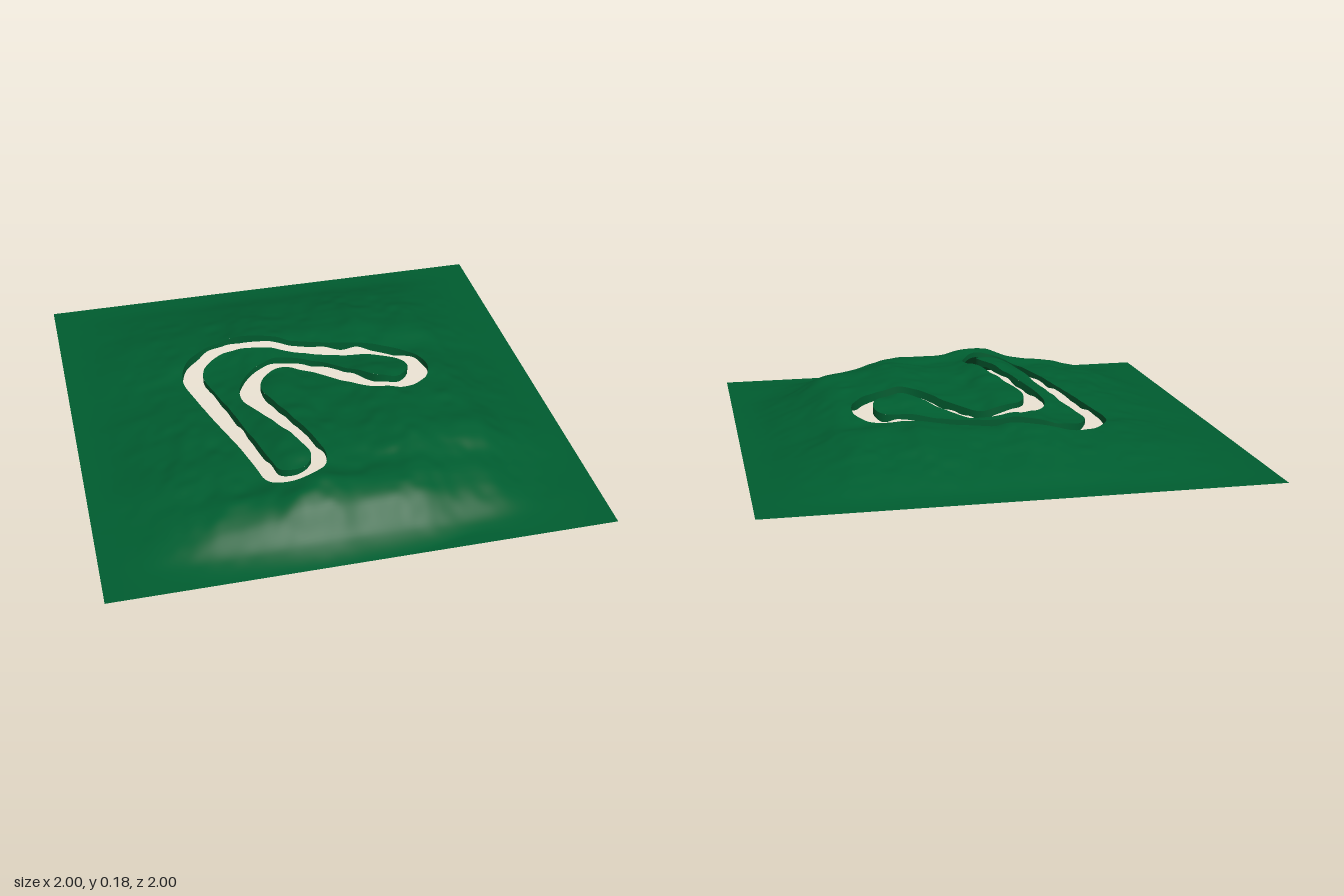
import * as THREE from 'three';

const CELLS = 180;    // terrain grid resolution

// Ridge profiles across x and z, sampled every 0.1 from -1 to 1
const ACROSS = [0, .012, .042, .074, .1, .114, .12, .138, .172, .18, .157, .155, .168, .183, .166, .155, .143, .095, .055, .015, 0];
const ALONG = [0, .01, .042, .07, .095, .112, .127, .125, .122, .135, .15, .155, .165, .172, .183, .182, .168, .18, .155, .055, 0];

function sample(list, t) {
  const f = Math.min(19.9999, Math.max(0, (t + 1) * 10));
  const i = Math.floor(f), u = f - i;
  const at = (k) => list[Math.min(20, Math.max(0, k))];
  const a = at(i - 1), b = at(i), c = at(i + 1), d = at(i + 2);
  return b + 0.5 * u * (c - a + u * (2 * a - 5 * b + 4 * c - d + u * (3 * (b - c) + d - a)));
}

// Smooth seeded value noise for the small bumps
function hash(i, j) {
  const s = Math.sin(i * 127.1 + j * 311.7) * 43758.5453;
  return s - Math.floor(s);
}
function noise(x, z) {
  const i = Math.floor(x), j = Math.floor(z);
  const ease = (t) => t * t * (3 - 2 * t);
  const u = ease(x - i), v = ease(z - j);
  const top = hash(i, j) * (1 - u) + hash(i + 1, j) * u;
  const low = hash(i, j + 1) * (1 - u) + hash(i + 1, j + 1) * u;
  return top * (1 - v) + low * v - 0.5;
}

function height(x, z) {
  const { smoothstep } = THREE.MathUtils;
  // The front hill is round, so its corners fall away
  const round = smoothstep(z, 0.3, 0.7) * smoothstep(Math.hypot(x + 0.1, z), 0.72, 1.2);
  const dip = 0.025 * Math.exp(-((x - 0.4) ** 2 + (z - 0.74) ** 2) / 0.04);
  const base = sample(ACROSS, x) * sample(ALONG, z) / 0.185 * (1 - 0.75 * round) - dip;
  const bumps = 0.011 * noise(x * 9, z * 9) + 0.007 * noise(x * 19 + 7, z * 19);
  return Math.max(0, base + bumps * Math.min(1, Math.max(0, base / 0.08)));
}

// Half the width of the cut, narrowing towards the front loop
const halfWidth = (z) => 0.045 - 0.014 * THREE.MathUtils.smoothstep(z, 0, 0.5);

// Closed centre line: arcs (x, z, signed radius) joined by their tangents
function trackLine() {
  const arcs = [[-.27, -.21, .195], [.345, -.05, .145], [-.06, 0, -.193], [-.19, .52, .105]];
  const n = arcs.length;
  const leave = arcs.map((a, i) => {
    const b = arcs[(i + 1) % n];
    const dx = b[0] - a[0], dz = b[1] - a[1];
    return Math.atan2(dz, dx) - Math.acos((a[2] - b[2]) / Math.hypot(dx, dz));
  });
  const path = new THREE.CurvePath();
  const corners = [];
  arcs.forEach(([x, z, r], i) => {
    const start = leave[(i + n - 1) % n];
    let turn = (leave[i] - start) % (2 * Math.PI);
    if (r > 0 && turn < 0) turn += 2 * Math.PI;
    if (r < 0 && turn > 0) turn -= 2 * Math.PI;
    for (let k = 0; k <= 24; k++) {
      const t = start + turn * k / 24;
      corners.push(new THREE.Vector2(x + r * Math.cos(t), z + r * Math.sin(t)));
    }
  });
  corners.push(corners[0].clone());
  for (let i = 1; i < corners.length; i++) path.add(new THREE.LineCurve(corners[i - 1], corners[i]));
  return path.getSpacedPoints(360).slice(0, 360);
}

// Nearest point on the centre line, and the gap to the edge of the cut
function nearest(line, x, z) {
  let best = Infinity, px = 0, pz = 0;
  for (let i = 0; i < line.length; i++) {
    const a = line[i], b = line[(i + 1) % line.length];
    const dx = b.x - a.x, dz = b.y - a.y;
    const t = Math.min(1, Math.max(0, ((x - a.x) * dx + (z - a.y) * dz) / (dx * dx + dz * dz)));
    const qx = a.x + dx * t, qz = a.y + dz * t;
    const d = (x - qx) ** 2 + (z - qz) ** 2;
    if (d < best) { best = d; px = qx; pz = qz; }
  }
  const d = Math.sqrt(best);
  return { px, pz, d, gap: d - halfWidth(pz) };
}

// Ground sheet with the track cut out, grid points pulled to the cut edge
function terrainGeometry(line) {
  const geo = new THREE.PlaneGeometry(2, 2, CELLS, CELLS).rotateX(-Math.PI / 2);
  const pos = geo.attributes.position, cell = 2 / CELLS, gaps = [];
  for (let i = 0; i < pos.count; i++) {
    let x = pos.getX(i), z = pos.getZ(i);
    const { px, pz, d, gap } = nearest(line, x, z);
    gaps[i] = gap;
    if (gap > -0.8 * cell && gap < 0.65 * cell) {
      x = px + (x - px) / d * halfWidth(pz);
      z = pz + (z - pz) / d * halfWidth(pz);
      gaps[i] = 0;
    }
    pos.setXYZ(i, x, height(x, z), z);
  }
  const kept = [], index = geo.index.array;
  const mean = (tri, get) => (get(tri[0]) + get(tri[1]) + get(tri[2])) / 3;
  for (let i = 0; i < index.length; i += 3) {
    const tri = [index[i], index[i + 1], index[i + 2]];
    if (tri.some((v) => gaps[v] < 0)) continue;
    const x = mean(tri, (v) => pos.getX(v)), z = mean(tri, (v) => pos.getZ(v));
    if (tri.some((v) => gaps[v] > 0) || nearest(line, x, z).gap > 0) kept.push(...tri);
  }
  geo.setIndex(kept);
  geo.computeVertexNormals();
  return geo;
}

// Closed band between two loops of points
function band(first, second) {
  const n = first.length, index = [];
  for (let i = 0; i < n; i++) {
    const j = (i + 1) % n;
    index.push(i, j, n + i, j, n + j, n + i);
  }
  const geo = new THREE.BufferGeometry().setFromPoints([...first, ...second]);
  geo.setIndex(index);
  geo.computeVertexNormals();
  return geo;
}

export function createModel() {
  const green = new THREE.MeshStandardMaterial({ color: 0x005d30, side: THREE.DoubleSide });
  green.name = 'grass green';

  const group = new THREE.Group();
  group.name = 'hillWithTrackCutting';
  const add = (name, geo) => {
    const mesh = new THREE.Mesh(geo, green);
    mesh.name = name;
    group.add(mesh);
  };

  const line = trackLine();
  add('terrain', terrainGeometry(line));

  // Loops offset to either side of the centre line
  const loop = (side, yOf) => line.map((p, i) => {
    const a = line[(i + line.length - 1) % line.length], b = line[(i + 1) % line.length];
    const dx = b.x - a.x, dz = b.y - a.y, reach = side * halfWidth(p.y) / Math.hypot(dx, dz);
    const x = p.x + dz * reach, z = p.y - dx * reach;
    return new THREE.Vector3(x, yOf(x, z), z);
  });

  // Uneven banks hanging from both edges of the open cut
  const footY = (x, z) => Math.max(0, height(x, z) - 0.03 - 0.025 * noise(x * 14, z * 14));
  for (const [name, side] of [['outerBank', 1], ['innerBank', -1]]) {
    const top = loop(side, height), foot = loop(side, footY);
    add(name, side > 0 ? band(foot, top) : band(top, foot));
  }
  return group;
}
